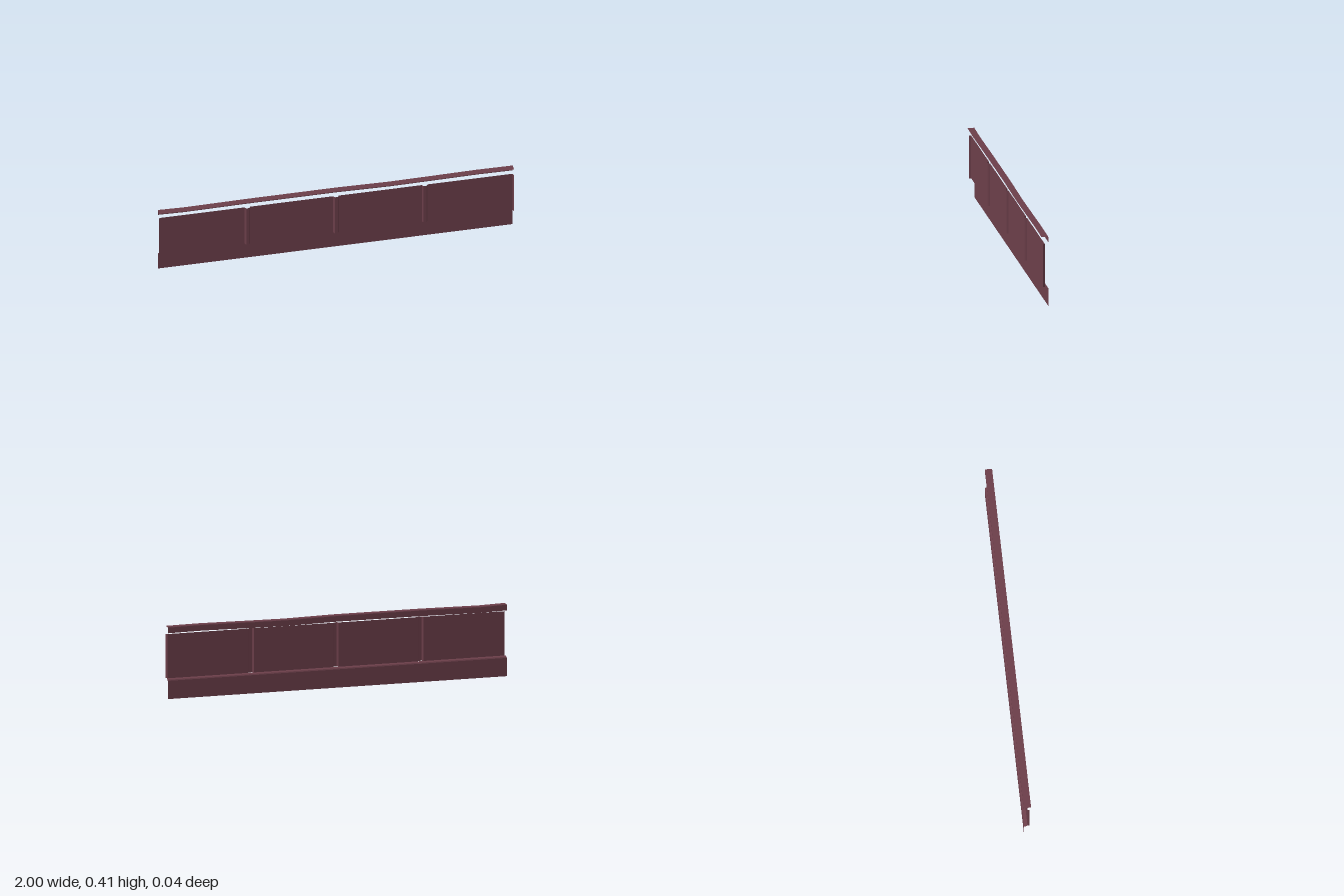
import * as THREE from 'three';

const sheetMetal = new THREE.MeshStandardMaterial({ color: 0x6b3e49, side: THREE.DoubleSide, flatShading: true });
sheetMetal.name = 'maroon sheet';

// Thin sheet: a (rows x cols) grid of points given by a rule, with faceted normals
function sheet(name, rows, cols, point) {
  const positions = [];
  for (let i = 0; i < rows - 1; i++) {
    for (let j = 0; j < cols - 1; j++) {
      const a = point(i, j), b = point(i + 1, j), c = point(i + 1, j + 1), d = point(i, j + 1);
      positions.push(...a, ...b, ...c, ...a, ...c, ...d);
    }
  }
  const geometry = new THREE.BufferGeometry();
  geometry.setAttribute('position', new THREE.Float32BufferAttribute(positions, 3));
  geometry.computeVertexNormals();
  const mesh = new THREE.Mesh(geometry, sheetMetal);
  mesh.name = name;
  return mesh;
}

export function createModel() {
  const group = new THREE.Group();
  group.name = 'panelWall';

  // Lower band with a ledge stepping forward to the panels: [z, y]
  const band = [[-0.02, 0], [-0.02, 0.102], [-0.017, 0.108], [0, 0.113]];
  group.add(sheet('lowerBand', 2, band.length, (i, j) => [i ? 1 : -1, band[j][1], band[j][0]]));

  // Pressed panels: raised ribs between bays and a turned-out edge at each end: [x, z]
  const bays = [[-1, 0.012], [-0.995, 0]];
  for (const x of [-0.5, 0, 0.5]) {
    bays.push([x - 0.016, 0], [x - 0.011, 0.009], [x - 0.008, 0.012], [x + 0.008, 0.012], [x + 0.011, 0.009], [x + 0.016, 0]);
  }
  bays.push([0.995, 0], [1, 0.012]);
  group.add(sheet('ribbedPanels', 2, bays.length, (i, j) => [bays[j][0], i ? 0.113 : 0.361, bays[j][1]]));

  // Slightly uneven coping with a flange hanging at the back
  const wave = [[-1, 0.404], [-0.85, 0.4], [-0.5, 0.404], [0, 0.405], [0.3, 0.4], [0.5, 0.402], [0.8, 0.406], [1, 0.404]];
  const coping = [[0.02, 0], [-0.018, 0], [-0.02, -0.004], [-0.02, -0.035]]; // [z, drop]
  group.add(sheet('coping', wave.length, coping.length, (i, j) => [wave[i][0], wave[i][1] + coping[j][1], coping[j][0]]));

  return group;
}
